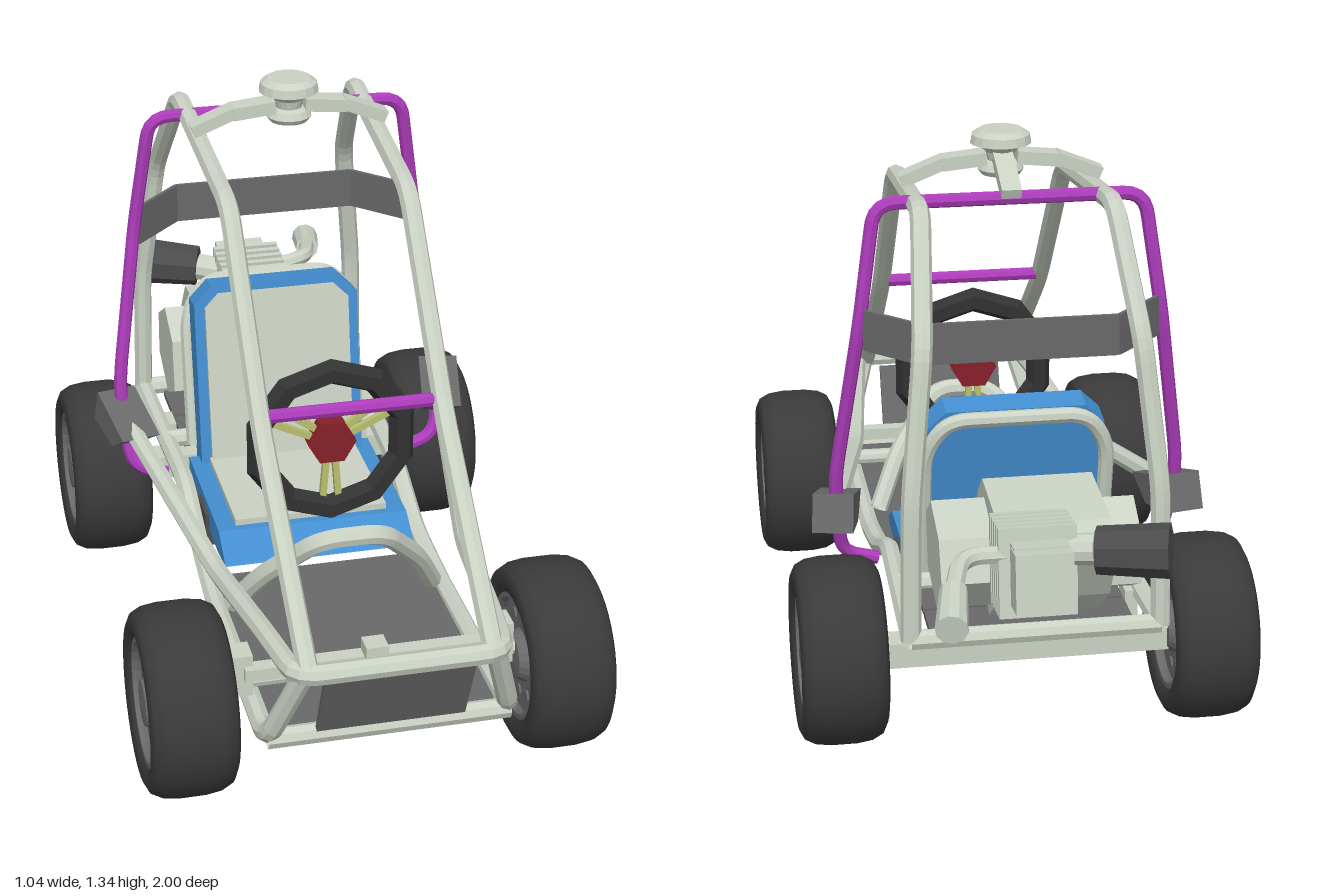
import * as THREE from 'three';

const mat = (name, color, opts = {}) => {
  const m = new THREE.MeshStandardMaterial({ color, ...opts });
  m.name = name;
  return m;
};
const flat = { flatShading: true };
const M = {
  frame: mat('pale frame grey', 0xcad2c4, { ...flat, side: THREE.DoubleSide }),
  purple: mat('purple', 0xac3cba, { ...flat, side: THREE.DoubleSide }),
  blue: mat('seat blue', 0x438ed0, flat),
  panel: mat('panel grey', 0x696969, flat),
  dark: mat('dark grey', 0x4c4c4c, flat),
  black: mat('wheel black', 0x323232, flat),
  tire: mat('tire rubber', 0x3a3a3a),
  rim: mat('rim grey', 0x6c6c6c, flat),
  red: mat('hub red', 0x86202a, flat),
  olive: mat('spoke olive', 0xbcc070, flat),
};
const V = (x, y, z) => new THREE.Vector3(x, y, z);

export function createModel() {
  const root = new THREE.Group();
  root.name = 'buggy';

  const add = (name, geo, material, pos = [0, 0, 0], rot = [0, 0, 0], parent = root) => {
    const m = new THREE.Mesh(geo, material);
    m.name = name;
    m.position.set(...pos);
    m.rotation.set(...rot);
    parent.add(m);
    return m;
  };
  const box = (name, size, material, pos, rot, parent) =>
    add(name, new THREE.BoxGeometry(...size), material, pos, rot, parent);

  // Tube through points with rounded corners
  const tube = (name, pts, r = 0.023, material = M.frame, bend = 0.05) => {
    const p = pts.map(a => V(...a));
    const path = new THREE.CurvePath();
    let from = p[0];
    for (let i = 1; i < p.length - 1; i++) {
      const toward = q => p[i].clone().lerp(q, Math.min(0.45, bend / p[i].distanceTo(q)));
      const a = toward(p[i - 1]), b = toward(p[i + 1]);
      path.add(new THREE.LineCurve3(from, a));
      path.add(new THREE.QuadraticBezierCurve3(a, p[i], b));
      from = b;
    }
    path.add(new THREE.LineCurve3(from, p[p.length - 1]));
    return add(name, new THREE.TubeGeometry(path, p.length > 2 ? p.length * 14 : 1, r, 8), material);
  };
  const pair = (name, pts, r, material) => {
    tube(name + 'Left', pts, r, material);
    tube(name + 'Right', pts.map(([x, y, z]) => [-x, y, z]), r, material);
  };
  // Full hoop from its left half, listed from the outer end to the middle
  const hoop = (name, half, r, material) =>
    tube(name, [...half, ...half.map(([x, y, z]) => [-x, y, z]).reverse()], r, material);
  // Straight cylinder between two points
  const rod = (name, a, b, r, material, r2 = r, sides = 10) => {
    const A = V(...a), B = V(...b), d = B.clone().sub(A);
    const m = add(name, new THREE.CylinderGeometry(r2, r, d.length(), sides), material);
    m.position.copy(A.add(B).multiplyScalar(0.5));
    m.quaternion.setFromUnitVectors(V(0, 1, 0), d.normalize());
    return m;
  };
  // Side profile of [z, y] points extruded across x
  const profile = (name, pts, width, material, x = 0) => {
    const g = new THREE.ExtrudeGeometry(new THREE.Shape(pts.map(a => new THREE.Vector2(...a))),
      { depth: width, bevelEnabled: false });
    g.translate(0, 0, -width / 2);
    g.rotateY(-Math.PI / 2);
    return add(name, g, material, [x, 0, 0]);
  };

  // Roll cage
  pair('mainRail', [[0.2, 0.43, 0.97], [0.205, 0.78, 0.54], [0.205, 1.17, 0.21], [0.215, 1.23, -0.34],
    [0.24, 0.98, -0.54], [0.275, 0.65, -0.595], [0.28, 0.33, -0.6]]);
  hoop('noseAndSideTube', [[0.39, 0.47, -0.12], [0.29, 0.385, 0.45], [0.25, 0.42, 0.78], [0.225, 0.43, 0.975]]);
  pair('floorRail', [[0.21, 0.42, 0.96], [0.27, 0.22, 0.88], [0.27, 0.215, 0.3], [0.265, 0.24, 0.12],
    [0.265, 0.325, -0.08], [0.28, 0.33, -0.6]]);
  tube('frontFloorBar', [[-0.27, 0.22, 0.88], [0.27, 0.22, 0.88]]);
  tube('rearCrossBar', [[-0.28, 0.33, -0.6], [0.28, 0.33, -0.6]]);
  tube('middleCrossBar', [[-0.27, 0.33, -0.3], [0.27, 0.33, -0.3]]);
  hoop('steeringHoop', [[0.24, 0.24, 0.36], [0.18, 0.36, 0.44], [0.07, 0.49, 0.54]]);
  hoop('seatBackHoop', [[0.21, 0.33, -0.26], [0.21, 0.66, -0.325], [0.16, 0.74, -0.345]], 0.018);
  hoop('purpleHoop', [[0.4, 0.5, -0.19], [0.4, 0.57, -0.2], [0.345, 0.95, -0.255], [0.305, 1.222, -0.235]],
    0.016, M.purple);
  pair('purpleLowerLeg', [[0.4, 0.5, -0.19], [0.385, 0.35, -0.145], [0.3, 0.325, -0.135]], 0.016, M.purple);
  tube('purpleFrontBar', [[-0.19, 0.8, 0.515], [0.19, 0.8, 0.515]], 0.016, M.purple);

  // Wrap-around head guard
  const guard = [[-0.335, -0.262], [-0.22, -0.38], [0.22, -0.38], [0.335, -0.262]];
  for (let i = 0; i < 3; i++) {
    const [x0, z0] = guard[i], [x1, z1] = guard[i + 1];
    box('headGuard', [Math.hypot(x1 - x0, z1 - z0), 0.095, 0.009], M.panel,
      [(x0 + x1) / 2, 0.938, (z0 + z1) / 2], [0, -Math.atan2(z1 - z0, x1 - x0), 0]);
  }

  // Panels
  box('nosePanel', [0.33, 0.2, 0.012], M.panel, [0, 0.315, 0.925], [0.4, 0, 0]);
  box('floorPanel', [0.52, 0.014, 0.68], M.panel, [0, 0.213, 0.54]);
  box('underSeatBand', [0.48, 0.085, 0.105], M.dark, [0, 0.253, -0.012]);
  for (const z of [-0.36, -0.51]) box('enginePlate', [0.46, 0.014, 0.14], M.panel, [0, 0.315, z]);

  // Side pods
  for (const s of [1, -1]) {
    const pod = profile('sidePod', [[0.1, -0.005], [0.02, -0.055], [-0.1, -0.035], [-0.07, 0.05]], 0.095, M.panel);
    pod.position.set(s * 0.395, 0.478, -0.15);
    pod.rotation.y = -s * 0.2;
  }

  // Seat
  profile('seatBase', [[0.24, 0.265], [0.16, 0.315], [-0.22, 0.315], [-0.22, 0.26], [0.14, 0.25]], 0.46, M.blue);
  box('seatCushion', [0.37, 0.03, 0.34], M.frame, [0, 0.315, -0.03]);
  const chamfered = (w, h, c) => new THREE.Shape([[-w, 0], [w, 0], [w, h - c], [w - c, h], [c - w, h], [-w, h - c]]
    .map(a => new THREE.Vector2(...a)));
  const back = new THREE.Group();
  back.name = 'seatBack';
  back.position.set(0, 0.3, -0.21);
  back.rotation.x = -0.17;
  root.add(back);
  const slab = (name, shape, depth, material, pos) =>
    add(name, new THREE.ExtrudeGeometry(shape, { depth, bevelEnabled: false }), material, pos, [0, 0, 0], back);
  slab('seatBackShell', chamfered(0.205, 0.465, 0.045), 0.07, M.blue, [0, 0, -0.035]);
  slab('seatBackCushion', chamfered(0.18, 0.425, 0.035), 0.012, M.frame, [0, 0.02, 0.035]);

  // Steering wheel
  const wheelPos = [0, 0.625, 0.33];
  add('steeringRing', new THREE.TorusGeometry(0.174, 0.031, 6, 10), M.black, wheelPos, [0, 0, Math.PI / 10]);
  add('steeringHub', new THREE.CylinderGeometry(0.057, 0.057, 0.035, 6), M.red, wheelPos, [Math.PI / 2, Math.PI / 6, 0]);
  for (const a of [Math.PI / 6, Math.PI * 5 / 6, -Math.PI / 2]) {
    const spoke = new THREE.Group();
    spoke.name = 'steeringSpoke';
    spoke.position.set(...wheelPos);
    spoke.rotation.z = a;
    root.add(spoke);
    for (const s of [1, -1])
      box('spokeBar', [0.125, 0.015, 0.014], M.olive, [0.105, s * 0.015, 0], [0, 0, s * 0.08], spoke);
  }

  // Front axle, tie bar and pedal block
  rod('frontAxle', [-0.36, 0.25, 0.69], [0.36, 0.25, 0.69], 0.02, M.frame);
  box('tieBar', [0.58, 0.03, 0.035], M.frame, [0, 0.3, 0.74]);
  box('pedalBlock', [0.05, 0.09, 0.05], M.frame, [0, 0.3, 0.75]);
  for (const s of [1, -1]) box('steeringKnuckle', [0.05, 0.1, 0.06], M.frame, [s * 0.295, 0.29, 0.71]);
  box('rearAxleBeam', [0.68, 0.06, 0.07], M.frame, [0, 0.21, -0.4]);
  for (const s of [1, -1]) box('rearAxleBracket', [0.03, 0.13, 0.07], M.frame, [s * 0.25, 0.27, -0.4]);

  // Wheels
  const half = [[0.135, 0.07], [0.148, 0.09], [0.178, 0.098], [0.198, 0.088], [0.21, 0.065], [0.215, 0.03]];
  const tireGeo = new THREE.LatheGeometry([...half.map(([r, y]) => [r, -y]), ...half.slice().reverse()]
    .map(a => new THREE.Vector2(...a)), 40);
  const disc = (r, h, n = 24) => new THREE.CylinderGeometry(r, r, h, n);
  for (const z of [0.69, -0.4]) for (const s of [1, -1]) {
    const wheel = new THREE.Group();
    wheel.name = (z > 0 ? 'front' : 'rear') + (s > 0 ? 'Left' : 'Right') + 'Wheel';
    wheel.position.set(s * 0.422, 0.222, z);
    wheel.rotation.z = Math.PI / 2;
    root.add(wheel);
    add('tire', tireGeo, M.tire, [0, 0, 0], [0, 0, 0], wheel);
    add('rimDisc', disc(0.138, 0.13), M.rim, [0, 0, 0], [0, 0, 0], wheel);
    add('hub', new THREE.LatheGeometry([[0, -0.09], [0.05, -0.085], [0.062, -0.065], [0.062, 0.065], [0.05, 0.085], [0, 0.09]]
      .map(a => new THREE.Vector2(...a)), 20), M.rim, [0, 0, 0], [0, 0, 0], wheel);
    for (const side of [1, -1]) {
      add('rimLip', new THREE.TorusGeometry(0.139, 0.012, 6, 28), M.rim, [0, side * 0.075, 0], [Math.PI / 2, 0, 0], wheel);
      for (let i = 0; i < 10; i++) {
        const a = i * Math.PI / 5;
        add('rimStud', disc(0.015, 0.008, 8), M.panel, [0.094 * Math.cos(a), side * 0.066, 0.094 * Math.sin(a)], [0, 0, 0], wheel);
      }
    }
  }

  // Engine
  profile('crankcase', [[-0.36, 0.4], [-0.33, 0.56], [-0.4, 0.62], [-0.62, 0.6], [-0.68, 0.52], [-0.62, 0.42], [-0.5, 0.33]].reverse(),
    0.25, M.frame, -0.035);
  profile('clutchCover', [[-0.4, 0.42], [-0.38, 0.54], [-0.46, 0.6], [-0.59, 0.56], [-0.63, 0.47], [-0.55, 0.38]].reverse(),
    0.12, M.frame, 0.155);
  profile('flywheelCover', [[-0.38, 0.42], [-0.4, 0.55], [-0.5, 0.6], [-0.6, 0.54], [-0.6, 0.43], [-0.48, 0.37]].reverse(),
    0.08, M.frame, -0.195);
  const cyl = new THREE.Group();
  cyl.name = 'engineCylinder';
  cyl.position.set(0.025, 0.53, -0.62);
  cyl.rotation.x = 0.12;
  root.add(cyl);
  box('cylinderCore', [0.12, 0.14, 0.22], M.frame, [0, 0, -0.08], [0, 0, 0], cyl);
  for (let i = 0; i < 5; i++)
    box('coolingFin', [0.17, 0.2, 0.014], M.frame, [0, 0, -0.02 - i * 0.028], [0, 0, 0], cyl);
  box('cylinderHead', [0.125, 0.13, 0.07], M.frame, [0, 0, -0.19], [0, 0, 0], cyl);

  // Exhaust and air filter
  tube('exhaustPipe', [[0.07, 0.58, -0.73], [0.19, 0.59, -0.75], [0.225, 0.57, -0.88]], 0.02);
  rod('exhaustTip', [0.222, 0.565, -0.865], [0.245, 0.54, -0.995], 0.03, M.frame, 0.035);
  rod('carburettor', [-0.02, 0.58, -0.72], [-0.1, 0.59, -0.755], 0.035, M.frame);
  rod('airFilter', [-0.1, 0.59, -0.76], [-0.25, 0.6, -0.81], 0.052, M.dark, 0.06, 8);

  // Roof beacon on three curved arms
  const lamp = [[0, 1.243], [0.045, 1.243], [0.053, 1.255], [0.045, 1.27], [0.03, 1.275], [0.035, 1.295],
    [0.05, 1.31], [0.07, 1.315], [0.066, 1.335], [0.05, 1.346], [0, 1.346]];
  add('roofBeacon', new THREE.LatheGeometry(lamp.map(a => new THREE.Vector2(...a)), 16), M.frame, [0, 0, -0.1]);
  for (const s of [1, -1]) {
    box('beaconArmInner', [0.1, 0.03, 0.05], M.frame, [s * 0.085, 1.277, -0.1], [0, 0, -s * 0.1]);
    box('beaconArmOuter', [0.11, 0.028, 0.045], M.frame, [s * 0.178, 1.256, -0.1], [0, 0, -s * 0.38]);
  }
  box('beaconArmBack', [0.045, 0.028, 0.15], M.frame, [0, 1.262, -0.185], [-0.4, 0, 0]);
  return root;
}
